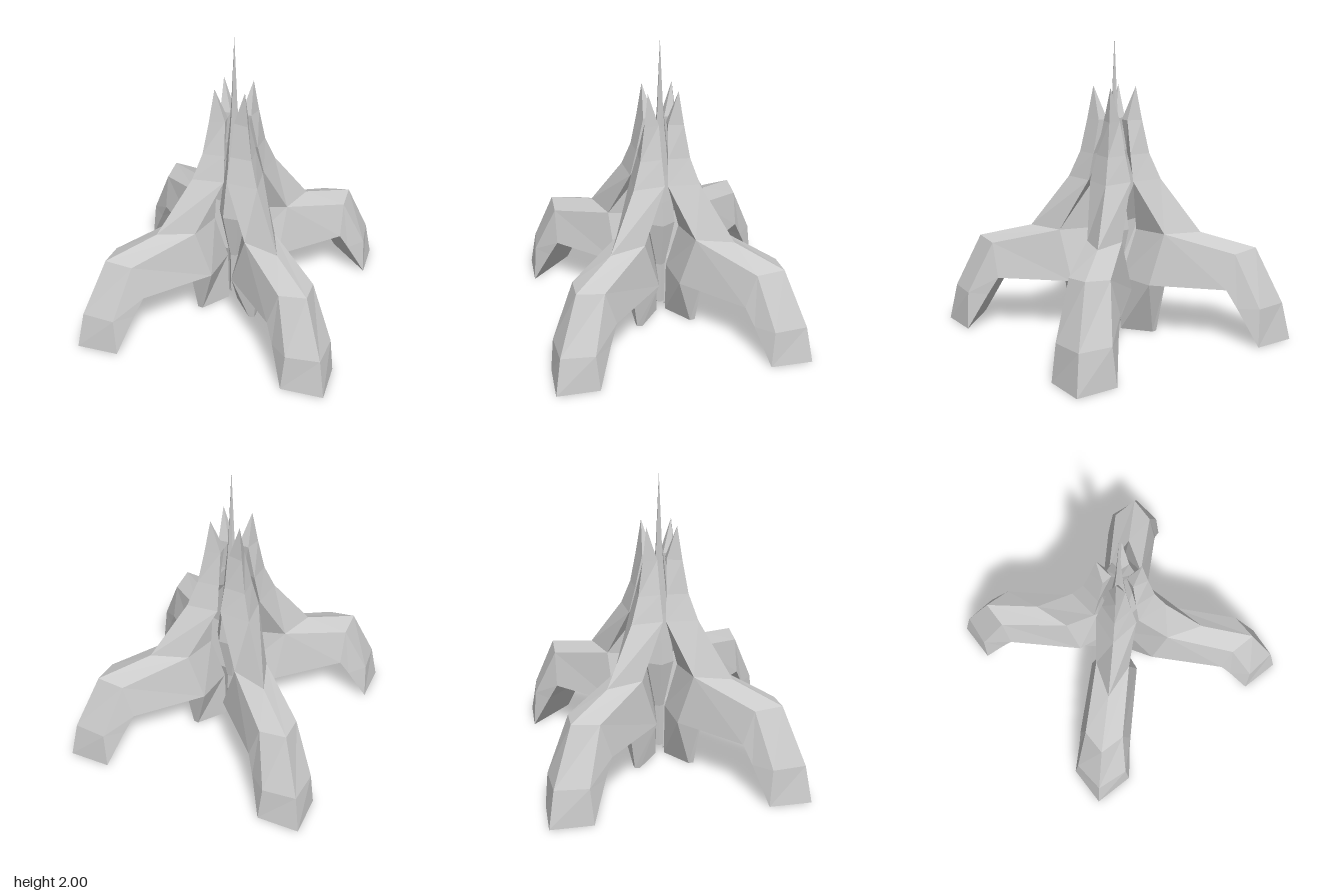
import * as THREE from 'three';

const material = new THREE.MeshStandardMaterial({
  color: 0xcccccc, flatShading: true, side: THREE.DoubleSide,
});

// Closed ring, symmetric about the diagonal x = z: ridge, side and inner points
function ring(ridge, side, inner) {
  const swap = ([x, y, z]) => [z, y, x];
  return [ridge, side, inner, swap(inner), swap(side)].map(p => new THREE.Vector3(...p));
}

// Ring whose ridge and inner edge both lie on the diagonal
function finRing(y, ridge, side, inner) {
  return ring([ridge, y, ridge], [side[0], y, side[1]], [inner, y, inner]);
}

// Skins a row of rings and caps both ends, skipping collapsed triangles
function loft(rings) {
  const positions = [];
  const tri = (a, b, c) => {
    const area = b.clone().sub(a).cross(c.clone().sub(a)).length();
    if (area > 1e-6) for (const p of [a, b, c]) positions.push(p.x, p.y, p.z);
  };
  const n = rings[0].length;
  for (let i = 0; i < rings.length - 1; i++) {
    for (let j = 0; j < n; j++) {
      const k = (j + 1) % n;
      const [r, s] = [rings[i], rings[i + 1]];
      tri(r[j], r[k], s[k]);
      tri(r[j], s[k], s[j]);
    }
  }
  const first = rings[0], last = rings[rings.length - 1];
  for (let j = 1; j < n - 1; j++) {
    tri(first[0], first[j + 1], first[j]);
    tri(last[0], last[j], last[j + 1]);
  }
  const geometry = new THREE.BufferGeometry();
  geometry.setAttribute('position', new THREE.Float32BufferAttribute(positions, 3));
  geometry.computeVertexNormals();
  return geometry;
}

function addMesh(parent, name, geometry) {
  const mesh = new THREE.Mesh(geometry, material);
  mesh.name = name;
  parent.add(mesh);
}

export function createModel() {
  const model = new THREE.Group();
  model.name = 'fourLeggedSpire';

  // Bent leg, from shoulder over the knee to the pointed foot
  const leg = loft([
    ring([0.41, 0.71, 0.41], [0.17, 0.71, 0.33], [0.07, 0.37, 0.30]),
    ring([0.67, 0.62, 0.67], [0.49, 0.60, 0.67], [0.42, 0.37, 0.67]),
    ring([0.80, 0.25, 0.80], [0.58, 0.25, 0.82], [0.47, 0.25, 0.725]),
    ring([0.84, 0, 0.84], [0.56, 0, 0.84], [0.56, 0, 0.84]),
  ]);

  // Upright fin, from its peak down into the tapered inner pillar
  const fin = loft([
    finRing(1.67, 0.10, [0.10, 0.10], 0.10),
    finRing(1.45, 0.13, [0.03, 0.105], 0.035),
    finRing(1.23, 0.165, [0.02, 0.155], 0.06),
    finRing(1.06, 0.22, [0.01, 0.20], 0.09),
    finRing(0.71, 0.41, [0.17, 0.33], 0.105),
    finRing(0.37, 0.25, [0.07, 0.30], 0.035),
    finRing(0, 0.205, [0.17, 0.21], 0.03),
  ]);

  // Four identical limbs, one on each diagonal
  for (let i = 0; i < 4; i++) {
    const limb = new THREE.Group();
    limb.name = 'limb' + (i + 1);
    limb.rotation.y = i * Math.PI / 2;
    addMesh(limb, 'leg', leg);
    addMesh(limb, 'fin', fin);
    model.add(limb);
  }

  // Six-sided central spire with a swollen body and a needle tip
  const profile = [
    [0, 0.06], [0.03, 0.06], [0.035, 0.37], [0.105, 0.71], [0.085, 0.88],
    [0.06, 1.06], [0.045, 1.25], [0.03, 1.40], [0.02, 1.55], [0, 2],
  ].map(([r, y]) => new THREE.Vector2(r, y));
  addMesh(model, 'centralSpire', new THREE.LatheGeometry(profile, 6, Math.PI / 2));

  return model;
}
